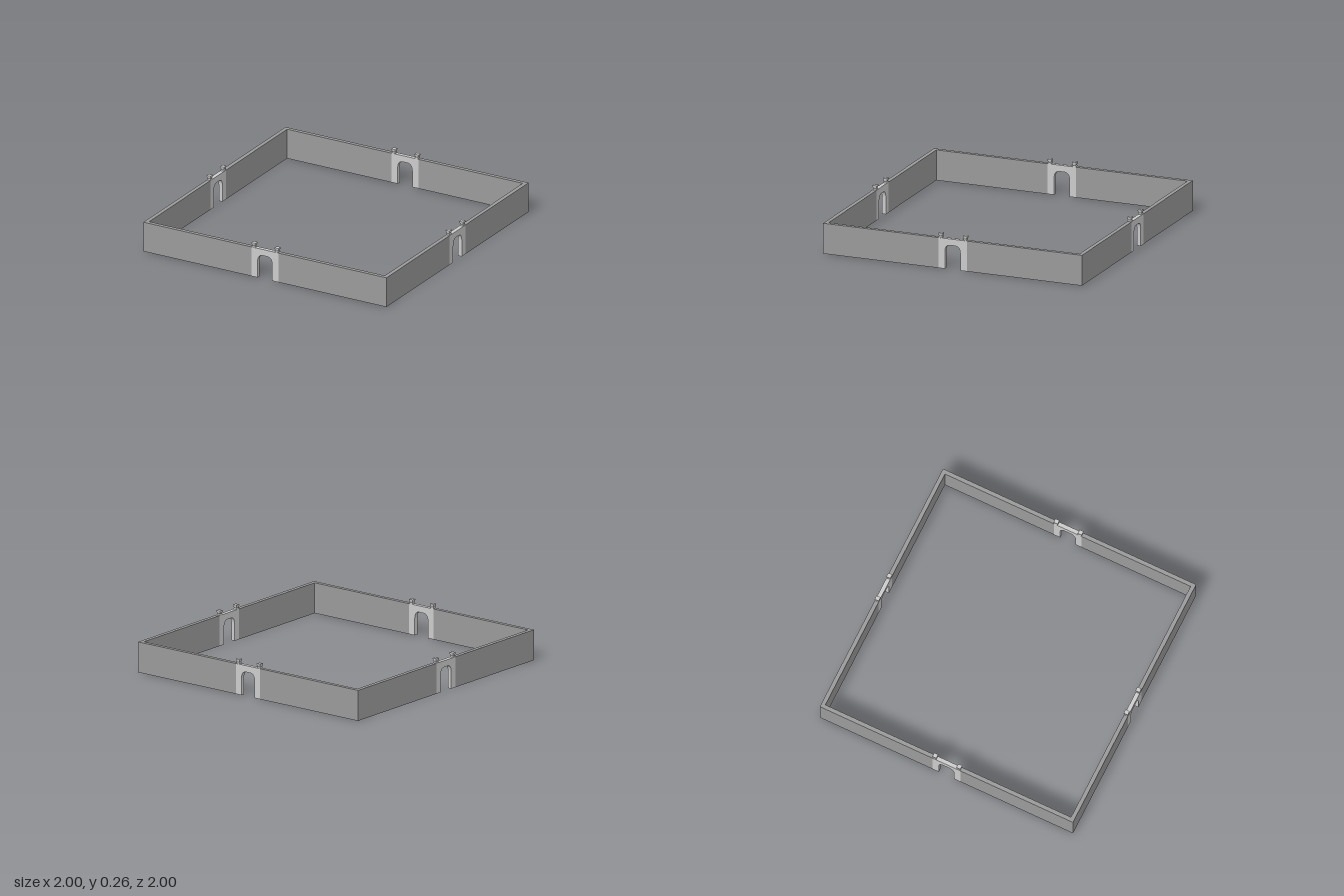
import * as THREE from 'three';

const T = 0.03;      // wall thickness
const H = 0.225;     // wall height
const GATE = 0.11;   // half width of a gate
const DOOR = 0.06;   // half width of the opening

const wallMat = new THREE.MeshStandardMaterial({ color: 0x9a9a9a });
const stoneMat = new THREE.MeshStandardMaterial({ color: 0xcccccc });
const finialMat = new THREE.MeshStandardMaterial({ color: 0xcccccc, flatShading: true });

function add(group, name, geometry, material, x, y, z) {
  const mesh = new THREE.Mesh(geometry, material);
  mesh.name = name;
  mesh.position.set(x, y, z);
  group.add(mesh);
  return mesh;
}

// Gate block with a round-shouldered opening
function gateGeometry() {
  const spring = 0.125, top = 0.178, flat = 0.018;
  const s = new THREE.Shape();
  s.moveTo(-GATE, 0);
  s.lineTo(-DOOR, 0);
  s.lineTo(-DOOR, spring);
  s.bezierCurveTo(-DOOR, 0.158, -0.045, top, -flat, top);
  s.lineTo(flat, top);
  s.bezierCurveTo(0.045, top, DOOR, 0.158, DOOR, spring);
  s.lineTo(DOOR, 0);
  s.lineTo(GATE, 0);
  s.lineTo(GATE, H);
  s.lineTo(-GATE, H);
  return new THREE.ExtrudeGeometry(s, { depth: T, bevelEnabled: false, curveSegments: 8 });
}

// Square finial: short neck below a cap that flares upward
function finialGeometry() {
  const profile = [[0, 0], [0.013, 0], [0.013, 0.008], [0.011, 0.011], [0.016, 0.027], [0.016, 0.034], [0, 0.034]]
    .map(([half, y]) => new THREE.Vector2(half * Math.SQRT2, y));
  return new THREE.LatheGeometry(profile, 4).rotateY(Math.PI / 4);
}

export function createModel() {
  const model = new THREE.Group();
  model.name = 'courtyardWall';
  const gate = gateGeometry(), finial = finialGeometry();

  // Four equal sides; each stops short at one end so the corners butt together
  ['front', 'left', 'back', 'right'].forEach((label, i) => {
    const side = new THREE.Group();
    side.name = label + 'Side';
    const mid = 1 - T / 2;
    for (const [name, a, b] of [['wallA', -1, -GATE], ['wallB', GATE, 1 - T]]) {
      add(side, name, new THREE.BoxGeometry(b - a, H, T), wallMat, (a + b) / 2, H / 2, mid);
    }
    add(side, 'gate', gate, stoneMat, 0, 0, 1 - T);
    for (const s of [-1, 1]) add(side, 'finial', finial, finialMat, s * 0.095, H, 1 - 0.016);
    side.rotation.y = i * Math.PI / 2;
    model.add(side);
  });
  return model;
}
